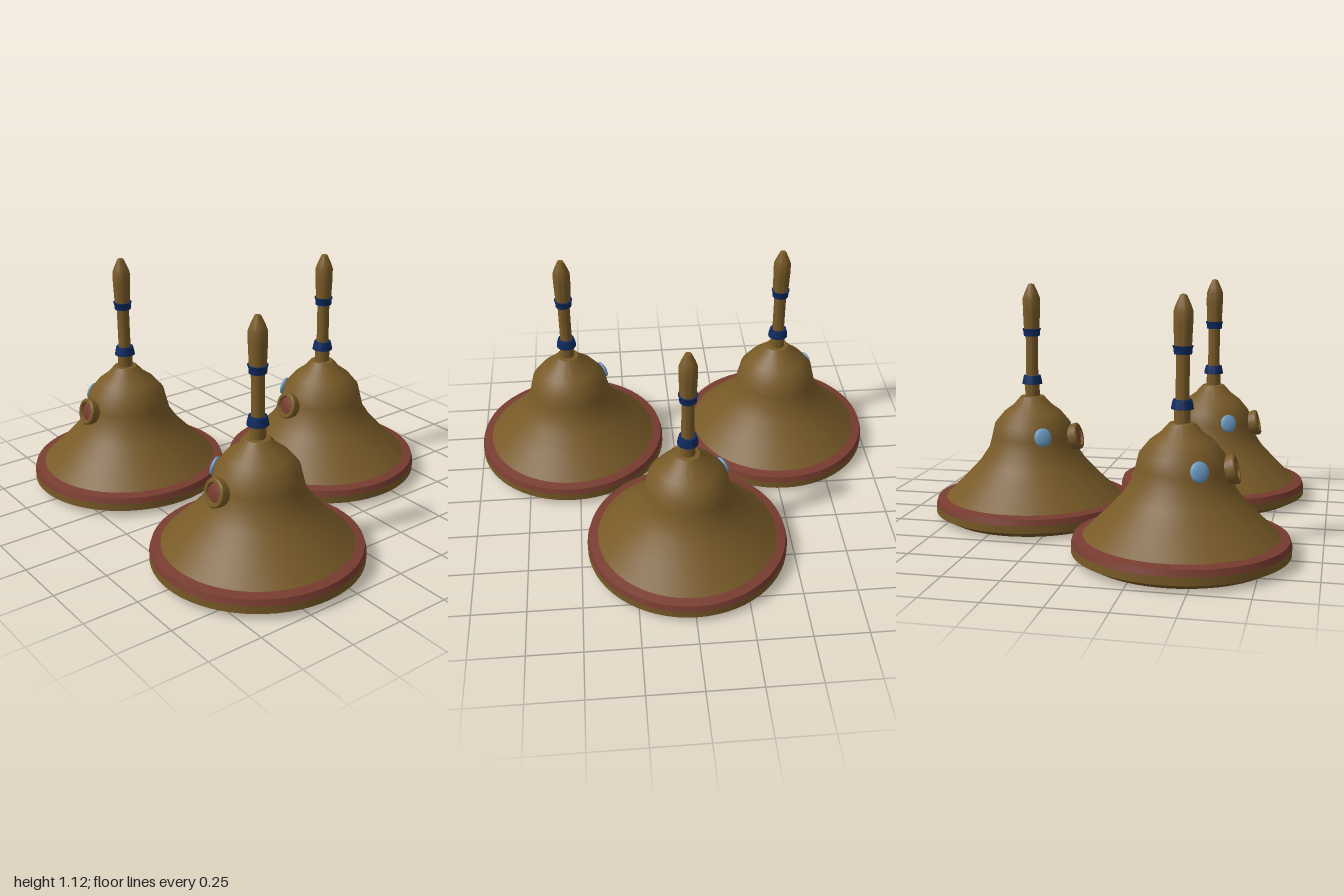
import * as THREE from 'three';
import { toCreasedNormals } from 'three/addons/utils/BufferGeometryUtils.js';

function material(name, color) {
  const m = new THREE.MeshStandardMaterial({ color });
  m.name = name;
  return m;
}

// Turned part from a profile of [radius, height] points, listed bottom to top
function turned(name, profile, mat, segments = 32) {
  const points = profile.map(([r, y]) => new THREE.Vector2(r, y));
  const geometry = toCreasedNormals(new THREE.LatheGeometry(points, segments), 0.6);
  const mesh = new THREE.Mesh(geometry, mat);
  mesh.name = name;
  return mesh;
}

export function createModel() {
  const bronze = material('bronze', 0x785a27);
  const red = material('rust red', 0x783c30);
  const navy = material('navy', 0x0e2a60);
  const glass = material('pale blue', 0x6c9cc4);

  function createBell() {
    const bell = new THREE.Group();

    // Flared body and rim
    bell.add(
      turned('base', [[0, 0], [0.415, 0], [0.47, 0.03], [0.47, 0.065]], bronze, 64),
      turned('rimBand', [[0.47, 0.065], [0.462, 0.092], [0.42, 0.1]], red, 64),
      turned('body', [
        [0.425, 0.095], [0.33, 0.187], [0.255, 0.267], [0.21, 0.335], [0.196, 0.39],
        [0.182, 0.45], [0.137, 0.505], [0.09, 0.54], [0.055, 0.58], [0, 0.585],
      ], bronze, 64),
    );

    // Handle with two collars and a pointed grip
    bell.add(
      turned('neck', [[0.035, 0.575], [0.035, 0.65]], bronze),
      turned('lowerCollar', [[0, 0.64], [0.048, 0.64], [0.046, 0.655], [0.04, 0.68], [0, 0.68]], navy),
      turned('shaft', [[0.029, 0.67], [0.029, 0.885]], bronze),
      turned('upperCollar', [[0, 0.87], [0.038, 0.87], [0.039, 0.89], [0.044, 0.905], [0, 0.91]], navy),
      turned('grip', [
        [0, 0.903], [0.037, 0.903], [0.041, 1.0], [0.041, 1.05],
        [0.032, 1.075], [0.014, 1.115], [0, 1.12],
      ], bronze),
    );

    // Round button on the front, tilted with the body
    const button = new THREE.Group();
    button.name = 'frontButton';
    button.add(
      turned('buttonRing', [
        [0.05, -0.07], [0.063, -0.025], [0.064, -0.006], [0.058, 0], [0.046, 0], [0.042, -0.012],
      ], bronze),
      turned('buttonCentre', [[0.043, -0.012], [0.025, -0.006], [0, -0.004]], red),
    );
    button.position.set(0, 0.395, 0.235);
    button.rotation.x = Math.PI / 2 - 0.25;
    bell.add(button);

    // Small oval glass set into the shoulder
    const lens = new THREE.Mesh(new THREE.SphereGeometry(1, 24, 16), glass);
    lens.name = 'sideLens';
    lens.scale.set(0.041, 0.044, 0.015);
    lens.position.set(-0.172, 0.412, 0.099);
    lens.rotation.set(-0.25, -Math.PI / 3, 0, 'YXZ');
    bell.add(lens);

    return bell;
  }

  // Three bells in a triangle
  const model = new THREE.Group();
  model.name = 'bells';
  const places = [['rightBell', -0.53, 0.405], ['leftBell', 0.53, 0.405], ['rearBell', 0, -0.405]];
  for (const [name, x, z] of places) {
    const bell = createBell();
    bell.name = name;
    bell.position.set(x, 0, z);
    model.add(bell);
  }
  return model;
}
